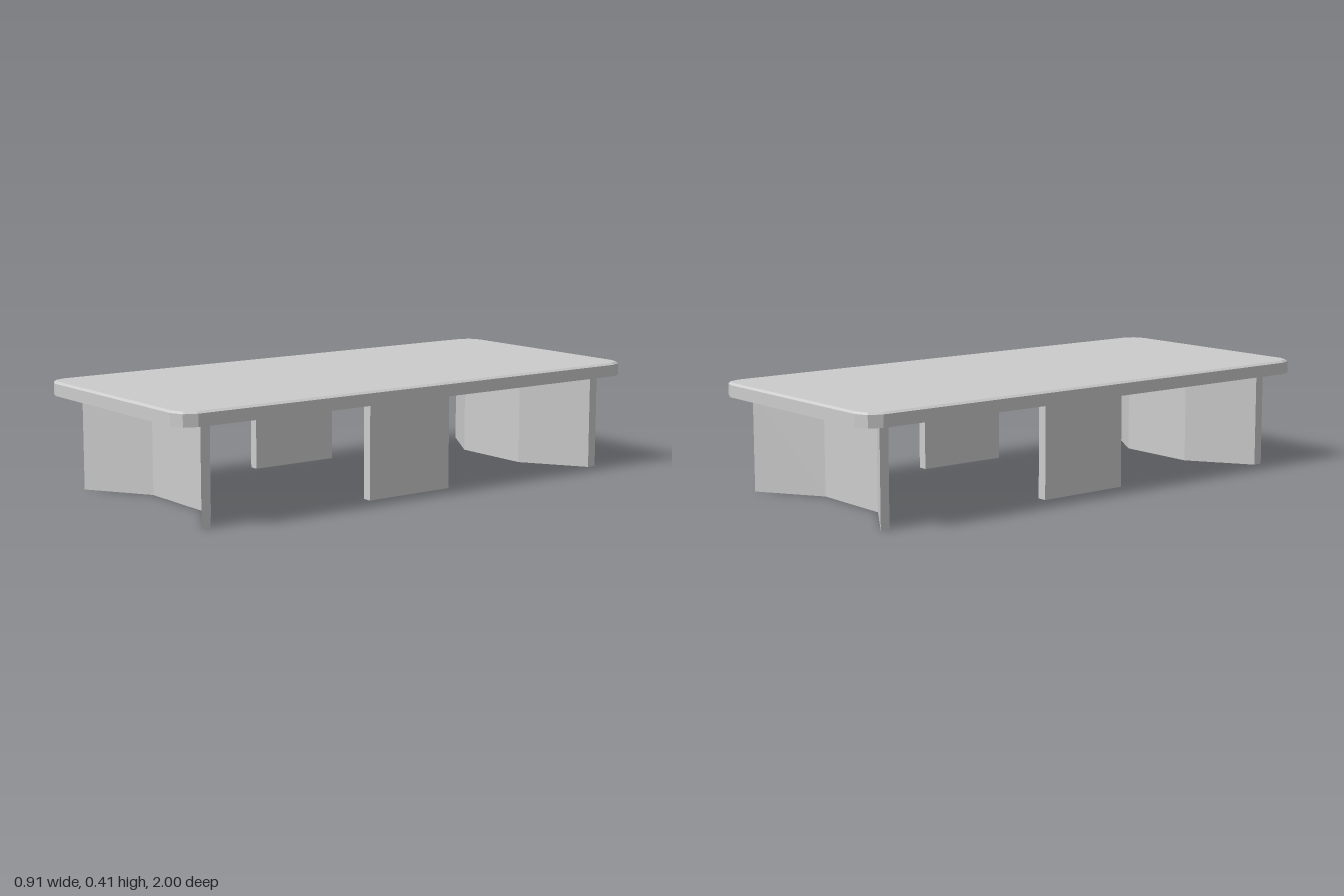
import * as THREE from 'three';

const HALF_X = 0.457, HALF_Z = 1, UNDERSIDE = 0.355;

// Rectangle outline with corners cut into two facets each
function outline(inset) {
  const r = 0.067, points = [];
  for (let corner = 0; corner < 4; corner++) {
    const sx = corner === 0 || corner === 3 ? 1 : -1;
    const sz = corner < 2 ? 1 : -1;
    for (let i = 0; i < 3; i++) {
      const a = corner * Math.PI / 2 + i * Math.PI / 4;
      points.push([
        sx * (HALF_X - r) + (r - inset) * Math.cos(a),
        sz * (HALF_Z - r) + (r - inset) * Math.sin(a),
      ]);
    }
  }
  return points;
}

// Closed solid lofted through stacked outlines
function loft(levels) {
  const positions = [], index = [];
  const n = levels[0].points.length, last = (levels.length - 1) * n;
  for (const { y, points } of levels) {
    for (const [x, z] of points) positions.push(x, y, z);
  }
  for (let l = 0; l < levels.length - 1; l++) {
    for (let i = 0; i < n; i++) {
      const a = l * n + i, b = l * n + (i + 1) % n;
      index.push(a, a + n, b, b, a + n, b + n);
    }
  }
  for (let i = 1; i < n - 1; i++) {
    index.push(0, i, i + 1);
    index.push(last, last + i + 1, last + i);
  }
  const geometry = new THREE.BufferGeometry();
  geometry.setAttribute('position', new THREE.Float32BufferAttribute(positions, 3));
  geometry.setIndex(index);
  const flat = geometry.toNonIndexed();
  flat.computeVertexNormals();
  return flat;
}

export function createModel() {
  const group = new THREE.Group();
  const material = new THREE.MeshStandardMaterial({ color: 0xcccccc, flatShading: true });
  const add = (name, geometry, parent = group) => {
    const mesh = new THREE.Mesh(geometry, material);
    mesh.name = name;
    parent.add(mesh);
    return mesh;
  };

  // Tabletop with a small bevel around the upper edge
  add('tabletop', loft([
    { y: UNDERSIDE, points: outline(0) },
    { y: 0.399, points: outline(0) },
    { y: 0.406, points: outline(0.01) },
  ]));

  const base = new THREE.Group();
  base.name = 'base';
  base.position.set(0.0025, 0, -0.0075);
  group.add(base);

  // End supports: flat middle with wings flaring out to the corners
  const inner = [[-0.396, 0.8625], [-0.163, 0.7125], [0.163, 0.7125], [0.396, 0.8625]];
  const outer = inner.map(([x, z]) => [x, z + 0.035]).reverse();
  const plan = new THREE.Shape([...inner, ...outer].map(([x, z]) => new THREE.Vector2(x, -z)));
  const supportGeometry = new THREE.ExtrudeGeometry(plan, { depth: UNDERSIDE, bevelEnabled: false });
  supportGeometry.rotateX(-Math.PI / 2);
  add('frontSupport', supportGeometry, base);
  add('backSupport', supportGeometry, base).rotation.y = Math.PI;

  // Flat side supports at mid length
  const panelGeometry = new THREE.BoxGeometry(0.036, UNDERSIDE, 0.36);
  for (const [name, side] of [['leftSupport', 1], ['rightSupport', -1]]) {
    add(name, panelGeometry, base).position.set(side * 0.358, UNDERSIDE / 2, 0.0025);
  }

  return group;
}
